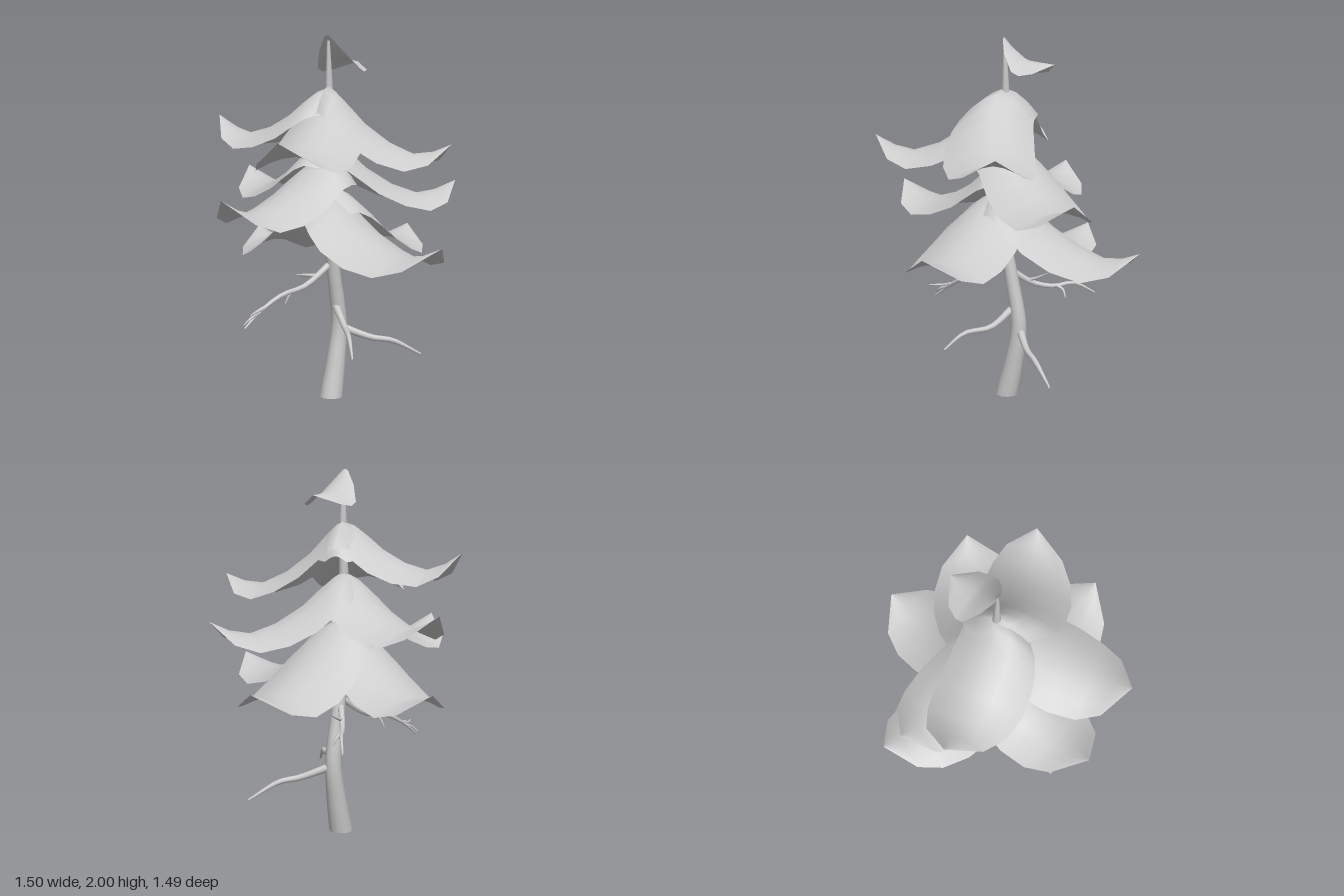
import * as THREE from 'three';

const grey = new THREE.MeshStandardMaterial({ color: 0xcccccc, side: THREE.DoubleSide });
grey.name = 'pale grey';

// Leaf cross-sections: [fraction of length, half width, centre height, droop of the edges]
// Negative fractions wrap round behind the trunk
const BOUGH = [
  [-0.19, 0.06, -0.13, 0.03], [-0.1, 0.145, -0.05, 0.1], [0, 0.185, 0, 0.14], [0.08, 0.205, -0.02, 0.14],
  [0.18, 0.225, -0.07, 0.135], [0.3, 0.24, -0.14, 0.12], [0.5, 0.245, -0.215, 0.095],
  [0.7, 0.22, -0.25, 0.075], [0.86, 0.16, -0.215, 0.06], [1, 0, -0.155, 0],
];
const CROWN = [
  [0, 0.02, 0, 0.01], [0.12, 0.08, -0.045, 0.04], [0.35, 0.14, -0.1, 0.075],
  [0.5, 0.142, -0.12, 0.075], [0.72, 0.115, -0.13, 0.055], [1, 0, -0.14, 0],
];

// Arched sheet from a base point to a tip point, lofted through the sections; bend bows its midline sideways
function leaf(name, sections, base, tip, bend, widthScale) {
  const cols = 6, pos = [], index = [];
  const dx = tip[0] - base[0], dz = tip[2] - base[2], length = Math.hypot(dx, dz);
  const tilt = tip[1] - base[1] - sections[sections.length - 1][2];
  for (const [t, w, h, droop] of sections) {
    const out = Math.max(t, 0);
    const bow = bend * Math.sin(Math.PI * out ** 0.6);
    for (let j = 0; j <= cols; j++) {
      const u = (j / cols) * 2 - 1;
      const side = (u * w * widthScale + bow) / length;
      pos.push(
        base[0] + dx * t - dz * side,
        base[1] + h + tilt * out - droop * Math.abs(u) ** 1.7,
        base[2] + dz * t + dx * side,
      );
    }
  }
  for (let i = 0; i < sections.length - 1; i++) {
    for (let j = 0; j < cols; j++) {
      const a = i * (cols + 1) + j, b = a + cols + 1;
      index.push(a, a + 1, b);
      if (i < sections.length - 2) index.push(a + 1, b + 1, b);
    }
  }
  const geo = new THREE.BufferGeometry();
  geo.setAttribute('position', new THREE.Float32BufferAttribute(pos, 3));
  geo.setIndex(index);
  geo.computeVertexNormals();
  const mesh = new THREE.Mesh(geo, grey);
  mesh.name = name;
  return mesh;
}

// Tube along a spline whose radius follows a list of evenly spaced values
function taperedTube(name, points, radii, segments, sides) {
  const curve = new THREE.CatmullRomCurve3(points.map((p) => new THREE.Vector3(...p)));
  const geo = new THREE.TubeGeometry(curve, segments, 1, sides, false);
  const p = geo.attributes.position, v = new THREE.Vector3();
  for (let i = 0; i <= segments; i++) {
    const centre = curve.getPointAt(i / segments);
    const f = (i / segments) * (radii.length - 1);
    const k = Math.min(Math.floor(f), radii.length - 2);
    const r = THREE.MathUtils.lerp(radii[k], radii[k + 1], f - k);
    for (let j = 0; j <= sides; j++) {
      const n = i * (sides + 1) + j;
      v.fromBufferAttribute(p, n).sub(centre).multiplyScalar(r).add(centre);
      p.setXYZ(n, v.x, v.y, v.z);
    }
  }
  const mesh = new THREE.Mesh(geo, grey);
  mesh.name = name;
  return mesh;
}

export function createModel() {
  const tree = new THREE.Group();
  tree.name = 'tree';

  // Leaning trunk, its first ring cut level with the ground
  const sides = 12;
  const trunk = taperedTube('trunk', [
    [-0.02, 0, -0.035], [0.025, 0.2, -0.035], [0.053, 0.4, -0.035], [0.005, 0.7, -0.035], [-0.035, 0.92, -0.035],
    [-0.04, 1.3, -0.04], [-0.03, 1.7, -0.04], [-0.035, 1.97, -0.04],
  ], [0.066, 0.052, 0.042, 0.037, 0.033, 0.028, 0.025, 0.021, 0.008], 32, sides);
  for (let j = 0; j <= sides; j++) trunk.geometry.attributes.position.setY(j, 0);
  tree.add(trunk);

  // Bare lower branches: points, thickness at the root
  const branches = new THREE.Group();
  branches.name = 'bareBranches';
  const paths = [
    [[[0.06, 0.385, -0.035], [0.17, 0.32, 0.11], [0.25, 0.3, 0.19], [0.38, 0.21, 0.3]], 0.024],
    [[[0.02, 0.51, -0.03], [-0.06, 0.42, 0.09], [-0.17, 0.4, 0.2], [-0.25, 0.32, 0.28]], 0.022],
    [[[-0.01, 0.76, -0.04], [-0.18, 0.65, -0.09], [-0.33, 0.62, -0.13], [-0.46, 0.55, -0.17], [-0.56, 0.475, -0.19]], 0.02],
    [[[-0.44, 0.565, -0.165], [-0.5, 0.55, -0.17], [-0.575, 0.55, -0.14]], 0.011],
    [[[-0.47, 0.545, -0.17], [-0.53, 0.52, -0.18], [-0.56, 0.49, -0.2]], 0.01],
    [[[-0.25, 0.64, -0.11], [-0.265, 0.61, -0.13], [-0.28, 0.56, -0.15]], 0.011],
    [[[-0.1, 0.695, -0.07], [-0.16, 0.705, -0.1], [-0.24, 0.72, -0.1]], 0.012],
    [[[-0.01, 0.73, -0.04], [0.1, 0.64, -0.13], [0.2, 0.615, -0.2], [0.29, 0.63, -0.26], [0.39, 0.565, -0.34]], 0.02],
    [[[0.07, 0.655, -0.11], [0.13, 0.675, -0.12], [0.19, 0.705, -0.12]], 0.011],
    [[[0.21, 0.62, -0.2], [0.25, 0.6, -0.2], [0.27, 0.555, -0.19]], 0.011],
  ];
  paths.forEach(([pts, r], i) =>
    branches.add(taperedTube(`branch${i + 1}`, pts, [r, r * 0.75, r * 0.6, r * 0.25], 12, 8)));
  tree.add(branches);

  // Three tiers of drooping boughs: base height, upturned tip, sideways bend and width of each
  const tiers = {
    lowerBough: [
      [1.2, [0.75, 0.89, -0.04], 0.025, 1.1],
      [1.18, [0.19, 0.88, -0.745], -0.045, 1],
      [1.18, [-0.12, 0.935, 0.74], 0.05, 1.08],
    ],
    middleBough: [
      [1.45, [0.55, 1.2, 0.41], -0.03, 1],
      [1.45, [0.06, 1.26, -0.7], 0, 1],
      [1.35, [-0.75, 1.17, -0.17], 0.045, 1.02],
    ],
    upperBough: [
      [1.72, [-0.22, 1.565, -0.67], -0.04, 0.95],
      [1.73, [0.21, 1.43, 0.59], 0.065, 0.98],
      [1.67, [-0.72, 1.47, 0.18], -0.015, 1],
    ],
  };
  for (const [name, boughs] of Object.entries(tiers)) {
    const tier = new THREE.Group();
    tier.name = `${name}s`;
    boughs.forEach(([y, tip, bend, width], i) =>
      tier.add(leaf(`${name}${i + 1}`, BOUGH, [-0.035, y, -0.04], tip, bend, width)));
    tree.add(tier);
  }

  // Single small leaf at the very top
  tree.add(leaf('crownLeaf', CROWN, [-0.04, 2, -0.045], [0.25, 1.86, -0.05], 0, 1));
  return tree;
}
